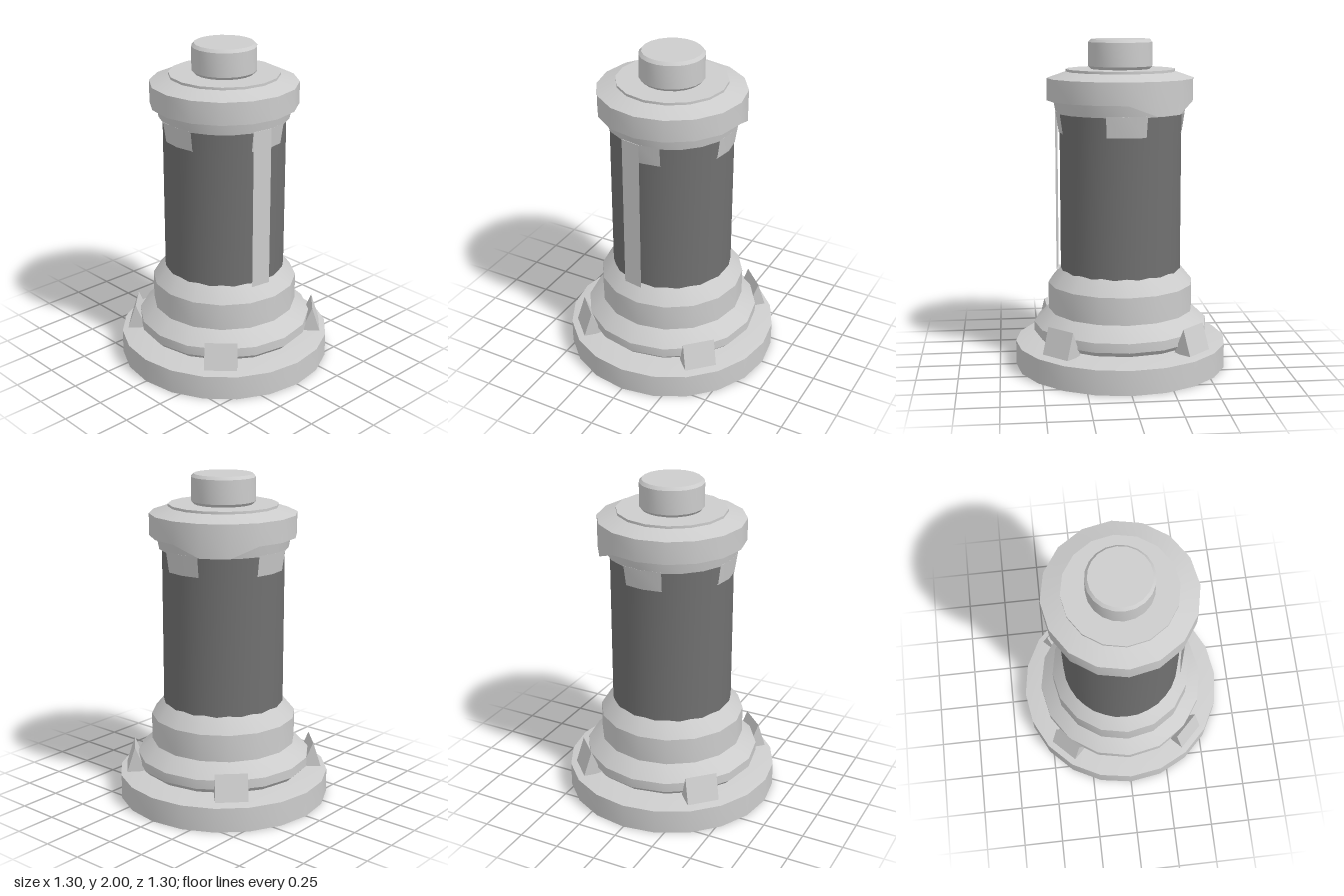
import * as THREE from 'three';
import { toCreasedNormals } from 'three/addons/utils/BufferGeometryUtils.js';

export function createModel() {
  const model = new THREE.Group();
  const lightGrey = new THREE.MeshStandardMaterial({ color: 0xcccccc, side: THREE.DoubleSide });
  lightGrey.name = 'light grey';
  const darkGrey = new THREE.MeshStandardMaterial({ color: 0x707070 });
  darkGrey.name = 'dark grey';

  const add = (name, geometry, material = lightGrey) => {
    const mesh = new THREE.Mesh(toCreasedNormals(geometry, 0.5), material);
    mesh.name = name;
    model.add(mesh);
    return mesh;
  };
  // Turned part from [radius, height] pairs, bottom to top
  const turn = (profile, sides, start = 0, arc = Math.PI * 2) =>
    new THREE.LatheGeometry(profile.map(([r, y]) => new THREE.Vector2(r, y)), sides, start, arc);

  // Foot and stepped pedestal
  add('foot', turn([[0, 0], [0.65, 0], [0.65, 0.15], [0.5, 0.178], [0, 0.178]], 20));
  add('pedestal', turn([[0.46, 0.17], [0.505, 0.185], [0.535, 0.215], [0.535, 0.272],
    [0.445, 0.355], [0.445, 0.52], [0.365, 0.617], [0, 0.617]], 16));

  // Wedge clips around the pedestal
  const wedge = new THREE.Shape([[0.49, 0.17], [0.605, 0.17], [0.555, 0.327]]
    .map(([x, y]) => new THREE.Vector2(x, y)));
  for (let i = 0; i < 4; i++) {
    const clip = new THREE.ExtrudeGeometry(wedge, { depth: 0.195, bevelEnabled: false });
    clip.translate(0, 0, -0.0975);
    add('pedestalClip', clip).rotation.y = Math.PI / 4 + i * Math.PI / 2;
  }

  // Dark barrel with a raised strip at the front
  add('barrel', new THREE.CylinderGeometry(0.368, 0.368, 1.0, 32).translate(0, 1.1, 0), darkGrey);
  const step = Math.PI / 10;
  add('frontStrip', turn([[0.34, 0.598], [0.395, 0.598], [0.395, 1.57], [0.34, 1.57]], 1, -step, step));

  // Collar under the cap, with four hanging tabs
  add('collar', turn([[0.34, 1.563], [0.39, 1.563], [0.405, 1.64]], 20));
  for (let i = 0; i < 4; i++) {
    add('collarTab', turn([[0.355, 1.445], [0.373, 1.445], [0.392, 1.57], [0.355, 1.57]],
      2, i * Math.PI / 2 - step, step * 2));
  }

  // Cap, whose rim dips at the back on one side
  const cap = turn([[0.36, 1.637], [0.443, 1.637], [0.443, 1.77], [0.33, 1.808],
    [0.33, 1.823], [0, 1.823]], 16);
  const p = cap.attributes.position;
  for (let i = 0; i < p.count; i++) {
    const x = p.getX(i), z = p.getZ(i);
    const angle = Math.atan2(-z, x);
    if (p.getY(i) < 1.65 && Math.hypot(x, z) > 0.4 && angle > 0.3 && angle < 0.9) p.setY(i, 1.572);
  }
  add('cap', cap);

  // Round button on top
  add('topButton', turn([[0.175, 1.82], [0.193, 1.84], [0.193, 1.982], [0.177, 2], [0, 2]], 20));
  return model;
}
